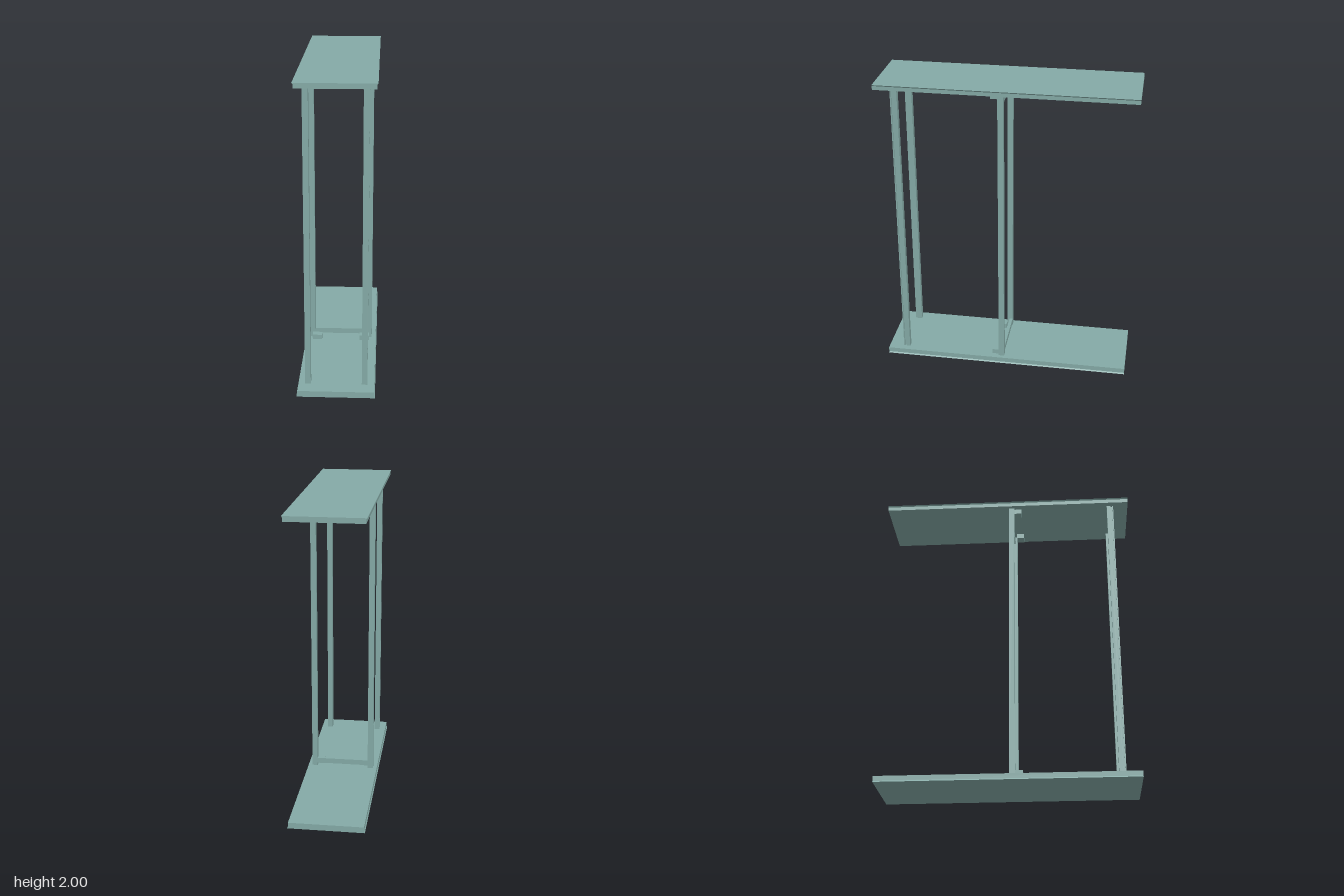
import * as THREE from 'three';

export function createModel() {
  const model = new THREE.Group();
  model.name = 'shelfFrame';
  const paint = new THREE.MeshStandardMaterial({ color: 0x84aaa6 });
  paint.name = 'greyGreen';

  const add = (name, geometry) => {
    const mesh = new THREE.Mesh(geometry, paint);
    mesh.name = name;
    model.add(mesh);
    return mesh;
  };

  // Box given by its limits on each axis
  const box = (name, [x0, x1], [y0, y1], [z0, z1]) => {
    const mesh = add(name, new THREE.BoxGeometry(x1 - x0, y1 - y0, z1 - z0));
    mesh.position.set((x0 + x1) / 2, (y0 + y1) / 2, (z0 + z1) / 2);
  };

  const extrude = (points, depth) => new THREE.ExtrudeGeometry(
    new THREE.Shape(points.map(([x, y]) => new THREE.Vector2(x, y))),
    { depth, bevelEnabled: false });

  // Long boards with a slightly flared outer rim along both sides
  const board = (name, inner, outer) => {
    const lip = outer + Math.sign(inner - outer) * 0.008;
    const side = [[0.241, inner], [0.241, lip], [0.247, outer]];
    const points = [...side, ...side.map(([x, y]) => [-x, y]).reverse()];
    add(name, extrude(points, 1.66)).position.z = -0.83;
  };
  board('bottomBoard', 0.04, 0);
  board('topBoard', 1.967, 2);

  for (const s of [1, -1]) {
    const side = s > 0 ? 'left' : 'right';
    const span = (a, b) => (s > 0 ? [a, b] : [-b, -a]);

    // Front post with a narrow slot along its outer face
    const section = [
      [0.162, 0.687], [0.198, 0.687], [0.198, 0.712], [0.188, 0.712],
      [0.188, 0.724], [0.198, 0.724], [0.198, 0.731], [0.162, 0.731],
    ].map(([x, z]) => [s * x, -z]);
    const post = add(side + 'FrontPost', extrude(section, 1.927));
    post.rotation.x = -Math.PI / 2;
    post.position.y = 0.04;

    // Middle post and its small mounting blocks
    box(side + 'MiddlePost', span(0.177, 0.214), [0.04, 1.967], [0.01, 0.047]);
    box(side + 'LowerBlock', span(0.13, 0.195), [0.04, 0.073], [0.047, 0.095]);
    box(side + 'UpperBlock', span(0.13, 0.195), [1.934, 1.967], [0.047, 0.095]);
  }

  // Cross rails joining the middle posts
  box('lowerRail', [-0.177, 0.177], [0.06, 0.096], [0.01, 0.032]);
  box('upperRail', [-0.177, 0.177], [1.914, 1.95], [0.01, 0.032]);

  return model;
}
